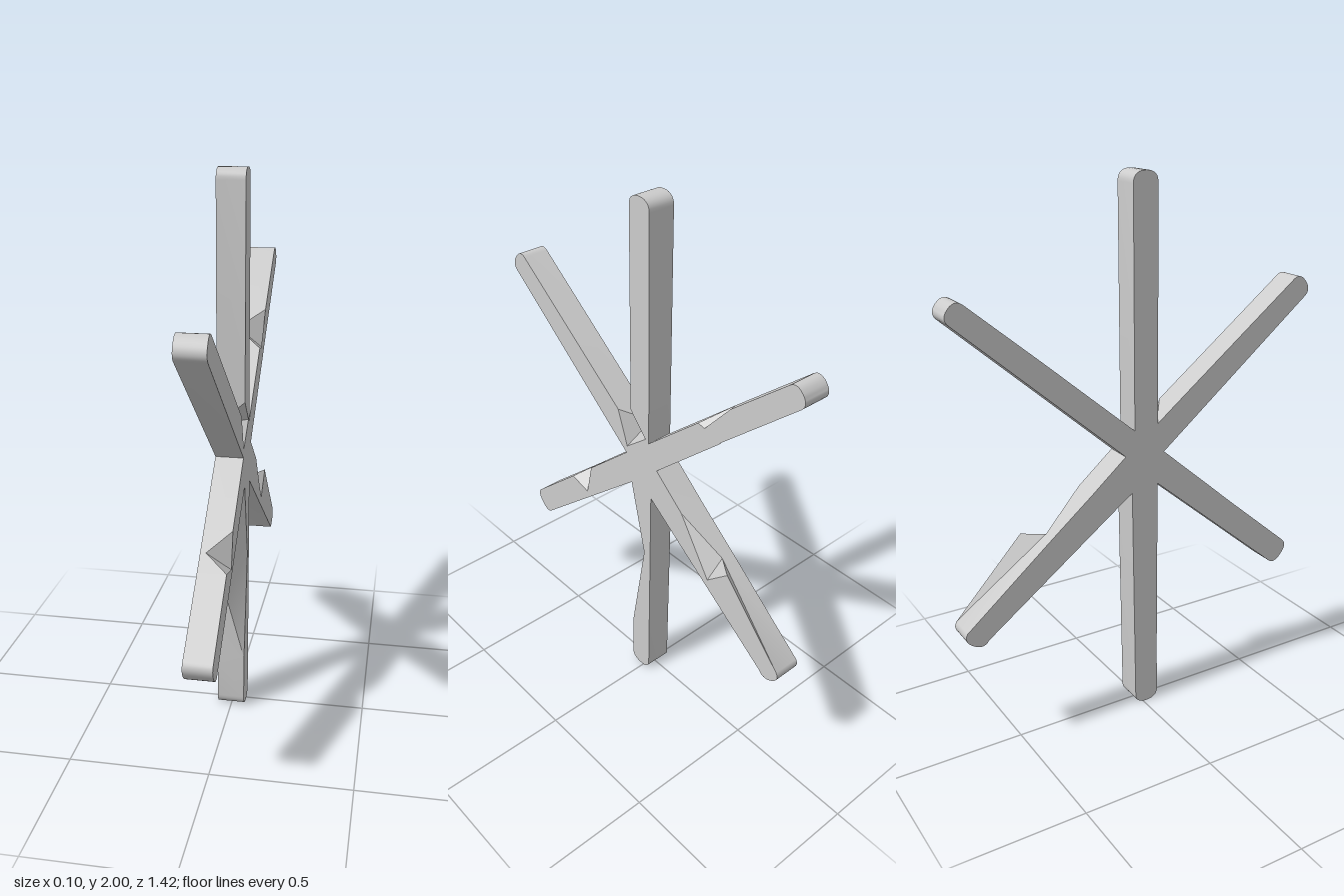
import * as THREE from 'three';
import { toCreasedNormals } from 'three/addons/utils/BufferGeometryUtils.js';

const HALF = 0.05; // half the thickness of the star

// Outline points are [u, y], with u running towards -z.
const pt = (u, y) => ({ u, y, x: HALF });

// A notch: its deep point on the side wall, and the points where it bites into the +x face.
const notch = (u, y, x, cap) => ({ u, y, x, cap: cap.map((c) => pt(...c)) });

// Rounded spoke end from a to b, bulging outwards by ext.
function tip([au, ay], [bu, by], ext, n = 14) {
  const hu = (au - bu) / 2, hy = (ay - by) / 2;
  const len = 2 * Math.hypot(hu, hy);
  const du = (by - ay) / len * ext, dy = (au - bu) / len * ext;
  const soft = (v) => Math.sign(v) * Math.abs(v) ** 0.85;
  return Array.from({ length: n + 1 }, (_, i) => {
    const t = Math.PI * i / n;
    const c = i === n ? -1 : soft(Math.cos(t));
    const s = i === 0 || i === n ? 0 : soft(Math.sin(t));
    return pt((au + bu) / 2 + hu * c + du * s, (ay + by) / 2 + hy * c + dy * s);
  });
}

// Rim of the star, counter-clockwise seen from +x.
const rim = [
  // lower rear spoke, with a raised barb beside its notch
  pt(0.048, 0.887),
  ...tip([0.624, 0.464], [0.7, 0.512], 0.035),
  notch(0.37, 0.785, 0, [[0.445, 0.785], [0.35, 0.7]]),
  pt(0.21, 0.915),
  pt(0.074, 1.03),
  // upper rear spoke
  ...tip([0.695, 1.575], [0.645, 1.635], 0.035),
  pt(0.42, 1.446),
  notch(0.35, 1.387, -0.045, [[0.385, 1.3]]),
  pt(0.28, 1.327),
  pt(0.037, 1.12),
  // top spoke, and the notch in the corner at its foot
  ...tip([0.042, 1.96], [-0.053, 1.96], 0.04),
  pt(-0.058, 1.215),
  notch(-0.058, 1.13, -0.045, [[0.02, 1.13], [-0.08, 1.05]]),
  pt(-0.127, 1.184),
  // upper front spoke
  ...tip([-0.645, 1.583], [-0.7, 1.515], 0.035),
  pt(-0.085, 1.02),
  // lower front spoke
  pt(-0.3, 0.834),
  notch(-0.365, 0.777, -0.03, [[-0.33, 0.705]]),
  pt(-0.42, 0.73),
  ...tip([-0.655, 0.53], [-0.59, 0.455], 0.035),
  // bottom spoke with its long notch
  pt(-0.058, 0.903),
  notch(-0.06, 0.47, -0.02, [[0.01, 0.61]]),
  pt(-0.06, 0.21),
  ...tip([-0.063, 0.04], [0.034, 0.04], 0.04),
];

function starGeometry() {
  const pos = [];
  const tri = (...ps) => ps.forEach((p) => pos.push(p.x, p.y, -p.u));
  const back = (p) => ({ ...p, x: -HALF });
  const face = (loop, flip) => {
    const flat = loop.map((p) => new THREE.Vector2(p.u, p.y));
    for (const [a, b, c] of THREE.ShapeUtils.triangulateShape(flat, [])) {
      if (flip) tri(loop[a], loop[c], loop[b]);
      else tri(loop[a], loop[b], loop[c]);
    }
  };

  // notched face and plain face
  face(rim.flatMap((p) => p.cap ?? [p]), false);
  face(rim.map(back), true);

  rim.forEach((p, i) => {
    const next = rim[(i + 1) % rim.length];
    // side wall
    tri(back(p), back(next), next);
    tri(back(p), next, p);
    // notch facets fan out from the deep point
    if (p.cap) {
      const edge = [rim[i - 1], ...p.cap, next];
      for (let k = 0; k < edge.length - 1; k++) tri(edge[k + 1], edge[k], p);
    }
  });

  const geometry = new THREE.BufferGeometry();
  geometry.setAttribute('position', new THREE.Float32BufferAttribute(pos, 3));
  return toCreasedNormals(geometry, 0.5);
}

export function createModel() {
  const group = new THREE.Group();
  group.name = 'notchedStar';
  const star = new THREE.Mesh(starGeometry(), new THREE.MeshStandardMaterial({ color: 0xcccccc }));
  star.name = 'sixSpokeStar';
  group.add(star);
  return group;
}
